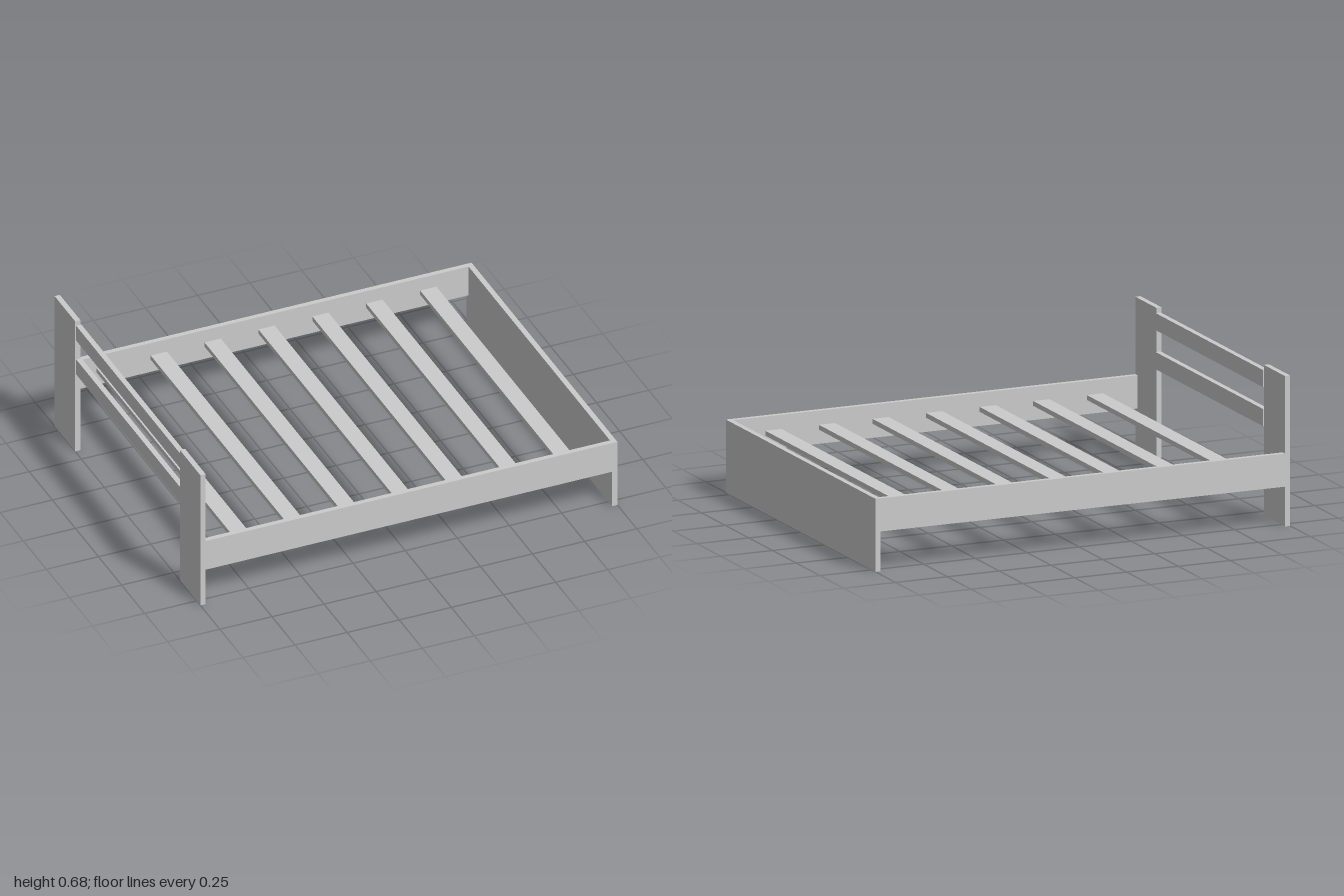
import * as THREE from 'three';

export function createModel() {
  const group = new THREE.Group();
  group.name = 'bedFrame';
  const material = new THREE.MeshStandardMaterial({ color: 0xcccccc, flatShading: true });

  // Board given by its extents along each axis
  const board = (name, [x0, x1], [y0, y1], [z0, z1]) => {
    const mesh = new THREE.Mesh(new THREE.BoxGeometry(x1 - x0, y1 - y0, z1 - z0), material);
    mesh.position.set((x0 + x1) / 2, (y0 + y1) / 2, (z0 + z1) / 2);
    mesh.name = name;
    group.add(mesh);
  };

  // Footboard
  board('footboard', [0.975, 1], [0, 0.33], [-0.79, 0.79]);

  // Side rails and headboard posts, mirrored
  board('leftRail', [-0.975, 0.975], [0.18, 0.33], [-0.79, -0.766]);
  board('rightRail', [-0.975, 0.975], [0.18, 0.33], [0.766, 0.79]);
  board('leftHeadPost', [-1, -0.975], [0, 0.68], [-0.79, -0.567]);
  board('rightHeadPost', [-1, -0.975], [0, 0.68], [0.567, 0.79]);

  // Headboard bars, set slightly proud of the posts on the inside
  board('lowerHeadBar', [-0.996, -0.971], [0.403, 0.481], [-0.567, 0.567]);
  board('upperHeadBar', [-0.996, -0.971], [0.58, 0.657], [-0.567, 0.567]);

  // Slats between the rails
  for (let i = 0; i < 7; i++) {
    const x = 0.006 + (i - 3) * 0.2585;
    board(`slat${i + 1}`, [x - 0.039, x + 0.039], [0.244, 0.266], [-0.766, 0.766]);
  }
  return group;
}
